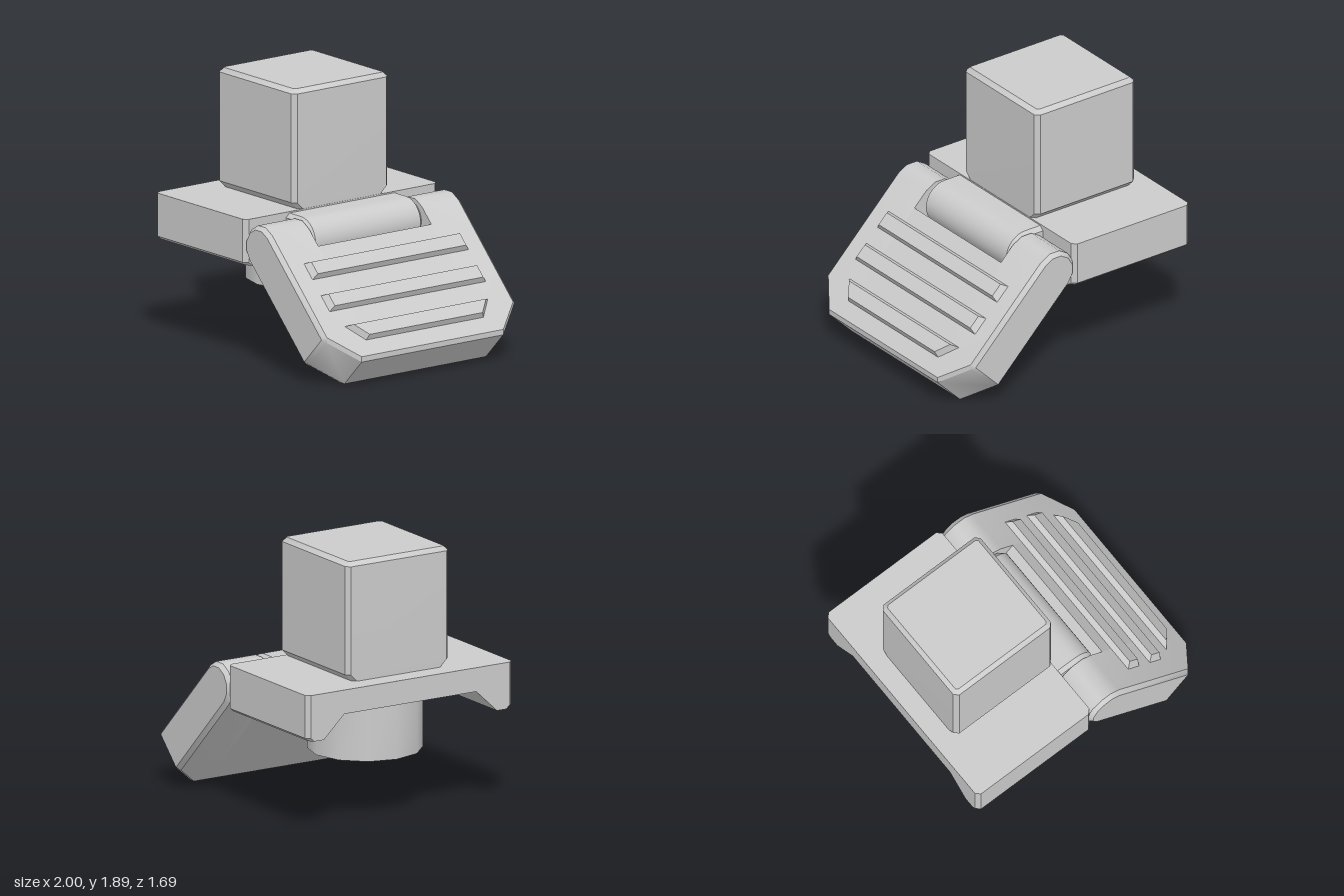
import * as THREE from 'three';
import { toCreasedNormals } from 'three/addons/utils/BufferGeometryUtils.js';

const CREASE = 0.6;

// Joins counter-clockwise 2D rings, each placed at a height along z, and caps both ends.
function loft(sections) {
  const rings = sections.map(([z, pts]) => pts.map(([x, y]) => new THREE.Vector3(x, y, z)));
  const out = [];
  const tri = (a, b, c) => {
    const area = b.clone().sub(a).cross(c.clone().sub(a)).length();
    if (area > 1e-7) for (const p of [a, b, c]) out.push(p.x, p.y, p.z);
  };
  for (let i = 0; i < rings.length - 1; i++) {
    const p = rings[i], q = rings[i + 1], n = p.length;
    for (let j = 0; j < n; j++) {
      const k = (j + 1) % n;
      tri(p[j], p[k], q[k]);
      tri(p[j], q[k], q[j]);
    }
  }
  const cap = (ring, flip) => {
    const flat = ring.map((p) => new THREE.Vector2(p.x, p.y));
    for (const [a, b, c] of THREE.ShapeUtils.triangulateShape(flat, [])) {
      if (flip) tri(ring[a], ring[c], ring[b]);
      else tri(ring[a], ring[b], ring[c]);
    }
  };
  cap(rings[0], true);
  cap(rings[rings.length - 1], false);
  const geo = new THREE.BufferGeometry();
  geo.setAttribute('position', new THREE.Float32BufferAttribute(out, 3));
  return toCreasedNormals(geo, CREASE);
}

// Rectangle with cut corners
const octagon = (hx, hy, c) => [
  [hx, -hy + c], [hx, hy - c], [hx - c, hy], [-hx + c, hy],
  [-hx, hy - c], [-hx, -hy + c], [-hx + c, -hy], [hx - c, -hy],
];

// Underside-channelled cross-section of the heel, with outer half width w
const archRing = (w) => [
  [w, 0.735], [w, 1.04], [-w, 1.04], [-w, 0.735], [-w + 0.03, 0.71],
  [-0.71, 0.71], [-0.54, 0.87], [0.54, 0.87], [0.71, 0.71], [w - 0.03, 0.71],
];

// Side profile of the toe: round at the hinge, bevelled at the tip, optionally cut back to start at u
function toeRing(r, end, bevel, start = -1) {
  const pts = [];
  for (let i = 0; i <= 6; i++) {
    const a = Math.PI / 2 + (i / 6) * Math.PI;
    pts.push([Math.max(Math.cos(a) * r, start), Math.sin(a) * r]);
  }
  pts.push([end - bevel, -r], [end, -r + bevel], [end, r - bevel], [end - bevel, r]);
  return pts;
}

// Raised bar whose ends slope in; skew angles the ends towards the tip
function ribGeometry(halfLength, skew) {
  const w = 0.15, h = 0.06;
  const geo = new THREE.BoxGeometry(w, h, halfLength * 2);
  const p = geo.attributes.position;
  for (let i = 0; i < p.count; i++) {
    const top = p.getY(i) > 0;
    const x = p.getX(i) * (top ? 0.66 : 1);
    const z = halfLength - (top ? 0.05 : 0) - skew * (x + w / 2);
    p.setX(i, x);
    p.setZ(i, Math.sign(p.getZ(i)) * z);
  }
  return toCreasedNormals(geo, 0.3);
}

export function createModel() {
  const group = new THREE.Group();
  const material = new THREE.MeshStandardMaterial({ color: 0xcccccc });
  const add = (name, geo, parent = group) => {
    const mesh = new THREE.Mesh(geo, material);
    mesh.name = name;
    parent.add(mesh);
    return mesh;
  };

  // Upright block
  const shin = add('shinBlock', loft([
    [1.03, octagon(0.425, 0.36, 0.03)],
    [1.09, octagon(0.427, 0.42, 0.03)],
    [1.86, octagon(0.427, 0.42, 0.03)],
    [1.89, octagon(0.397, 0.39, 0.015)],
  ]).rotateX(-Math.PI / 2));
  shin.position.x = -0.428;

  // Heel with a channel along its underside
  add('heel', loft([
    [-1, archRing(0.815)], [-0.97, archRing(0.845)],
    [-0.03, archRing(0.845)], [0, archRing(0.815)],
  ]).rotateY(Math.PI / 2));

  // Round peg under the heel
  const peg = add('heelPeg', toCreasedNormals(new THREE.CylinderGeometry(0.4, 0.4, 0.47, 12), CREASE));
  peg.position.set(-0.43, 0.665, 0);

  // Hinge knuckle growing out of the heel
  const d = new THREE.Shape();
  d.moveTo(-0.06, 0.71);
  d.lineTo(0.13, 0.71);
  d.absarc(0.13, 0.87, 0.16, -Math.PI / 2, Math.PI / 2, false);
  d.lineTo(-0.06, 1.03);
  const knuckle = add('hingeKnuckle', toCreasedNormals(new THREE.ExtrudeGeometry(d, {
    depth: 0.92, curveSegments: 8, bevelSegments: 1,
    bevelThickness: 0.03, bevelSize: 0.03, bevelOffset: -0.03,
  }), CREASE));
  knuckle.position.z = -0.46;

  // Toe, drooping at 45 degrees from the hinge
  const toe = new THREE.Group();
  toe.name = 'toe';
  toe.position.set(0.145, 0.86, 0);
  toe.rotation.z = -Math.PI / 4;
  group.add(toe);

  const R = 0.163, END = 1.074, B = 0.027, NOTCH = 0.145;
  const half = [
    [0.845, toeRing(R - B, END - 0.225, 0.004)],
    [0.815, toeRing(R, END - 0.195, B)],
    [0.62, toeRing(R, END, B)],
    [0.495, toeRing(R, END, B)],
    [0.495, toeRing(R, END, B, NOTCH)],
  ];
  const mirrored = half.map(([z, ring]) => [-z, ring]);
  add('toePlate', loft([...mirrored, ...half.reverse()]), toe);

  // Grip ribs across the toe
  [[0.325, 0.7, 0], [0.592, 0.7, 0], [0.86, 0.65, 0.85]].forEach(([u, len, skew]) => {
    add('toeRib', ribGeometry(len, skew), toe).position.set(u, R + 0.01, 0);
  });

  return group;
}
